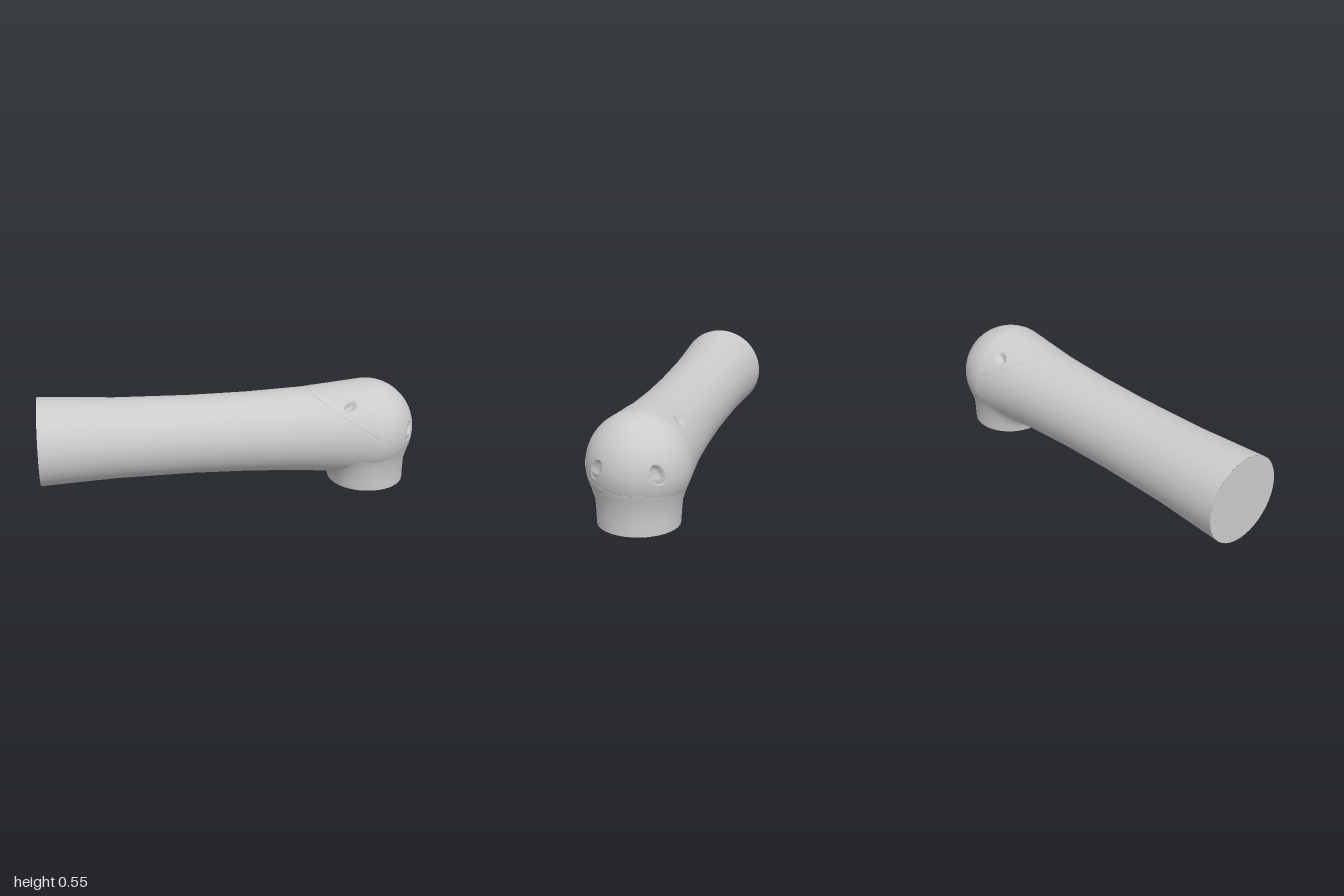
import * as THREE from 'three';
import { mergeVertices } from 'three/addons/utils/BufferGeometryUtils.js';

const AXIS_Y = 0.296, HEAD_X = 0.742, HEAD_R = 0.258;
const ARM = [[-1, 0.235], [-0.6, 0.214], [-0.2, 0.208], [0.1, 0.212], [0.4, 0.225], [HEAD_X, HEAD_R]];

// Radius of the arm and its round head at a given x
function radiusAt(x) {
  if (x >= HEAD_X) return Math.sqrt(Math.max(0, HEAD_R ** 2 - (x - HEAD_X) ** 2));
  const i = Math.max(1, ARM.findIndex(p => p[0] >= x));
  const [x0, r0] = ARM[i - 1], [x1, r1] = ARM[i];
  return r0 + (r1 - r0) * (x - x0) / (x1 - x0);
}

function smooth(geometry) {
  geometry.deleteAttribute('uv');
  geometry.deleteAttribute('normal');
  const merged = mergeVertices(geometry, 1e-5);
  merged.computeVertexNormals();
  return merged;
}

// Oval dimples: centre, long direction, half length, half width
const DIMPLES = [];
for (const s of [-1, 1]) {
  DIMPLES.push({ c: [0.95, 0.318, 0.15 * s], u: [0.02, 0.095, -0.036 * s], a: 0.05, b: 0.028 });
  DIMPLES.push({ c: [0.622, 0.482, 0.165 * s], u: [0.06, 0.034, -0.02 * s], a: 0.036, b: 0.021 });
}

function pressDimples(geometry) {
  const pos = geometry.attributes.position, p = new THREE.Vector3();
  const pits = DIMPLES.map(d => {
    const c = new THREE.Vector3(...d.c);
    const n = c.clone().sub(new THREE.Vector3(Math.min(c.x, HEAD_X), AXIS_Y, 0));
    if (c.x > HEAD_X) n.x = c.x - HEAD_X;
    n.normalize();
    const u = new THREE.Vector3(...d.u);
    u.addScaledVector(n, -u.dot(n)).normalize();
    return { ...d, c, n, u, v: n.clone().cross(u) };
  });
  for (let i = 0; i < pos.count; i++) {
    p.fromBufferAttribute(pos, i);
    for (const { c, n, u, v, a, b } of pits) {
      const q = p.clone().sub(c);
      const d2 = (q.dot(u) / a) ** 2 + (q.dot(v) / b) ** 2;
      if (d2 < 1 && q.length() < 0.1) p.addScaledVector(n, -0.026 * Math.sqrt(1 - d2));
    }
    pos.setXYZ(i, p.x, p.y, p.z);
  }
}

export function createModel() {
  const group = new THREE.Group();
  const material = new THREE.MeshStandardMaterial({ color: 0xcccccc });
  const add = (name, geometry) => {
    const mesh = new THREE.Mesh(geometry, material);
    mesh.name = name;
    group.add(mesh);
    return mesh;
  };

  // Long waisted arm running into a round head
  const profile = ARM.slice(0, 5).map(([x, r]) => new THREE.Vector2(r, x));
  for (let x = 0.5; x < HEAD_X; x += 0.008) profile.push(new THREE.Vector2(radiusAt(x), x));
  for (let i = 0; i <= 50; i++) {
    const t = i / 50 * Math.PI / 2;
    profile.push(new THREE.Vector2(HEAD_R * Math.cos(t), HEAD_X + HEAD_R * Math.sin(t)));
  }
  const arm = new THREE.LatheGeometry(profile, 160);
  arm.rotateZ(-Math.PI / 2).translate(0, AXIS_Y, 0);
  pressDimples(arm);
  add('armAndHead', smooth(arm));

  // Flat end of the arm
  const armEnd = new THREE.CircleGeometry(0.235, 40);
  add('armEnd', armEnd.rotateY(-Math.PI / 2).translate(-1, AXIS_Y, 0));

  // Neck: flares gently into the head, with a tight fillet under the arm
  const front = [[0.204, 0], [0.207, 0.06], [0.212, 0.125], [0.23, 0.18], [0.246, 0.23], [0.257, 0.3]];
  const back = [[0.204, 0], [0.208, 0.025], [0.218, 0.045], [0.24, 0.06], [0.265, 0.07], [0.3, 0.09]];
  const segs = 40;
  const neck = new THREE.LatheGeometry(front.map(p => new THREE.Vector2(...p)), segs);
  const pos = neck.attributes.position;
  for (let i = 0; i <= segs; i++) {
    const phi = i / segs * Math.PI * 2;
    const w = Math.max(0, -Math.sin(phi)) ** 2;
    front.forEach((f, j) => {
      const r = THREE.MathUtils.lerp(f[0], back[j][0], w);
      const y = THREE.MathUtils.lerp(f[1], back[j][1], w);
      pos.setXYZ(i * front.length + j, 0.757 - 0.05 * y + r * Math.sin(phi), y, r * Math.cos(phi));
    });
  }
  add('neck', smooth(neck));
  add('neckBase', new THREE.CircleGeometry(0.204, segs).rotateX(Math.PI / 2).translate(0.757, 0, 0));

  // Fine slanted seam around the head
  const seam = [], x0 = 0.435, x1 = 0.986, n = 48;
  for (let i = 0; i < n; i++) {
    const t = i / n * Math.PI * 2;
    const x = (x0 + x1) / 2 - (x1 - x0) / 2 * Math.cos(t);
    const y = 0.524 - (x - x0) * 0.571;
    const z = Math.sqrt(Math.max(0, radiusAt(x) ** 2 - (y - AXIS_Y) ** 2));
    seam.push(new THREE.Vector3(x, y, t < Math.PI ? z : -z));
  }
  add('headSeam', new THREE.TubeGeometry(new THREE.CatmullRomCurve3(seam, true), 120, 0.0015, 5, true));

  return group;
}
